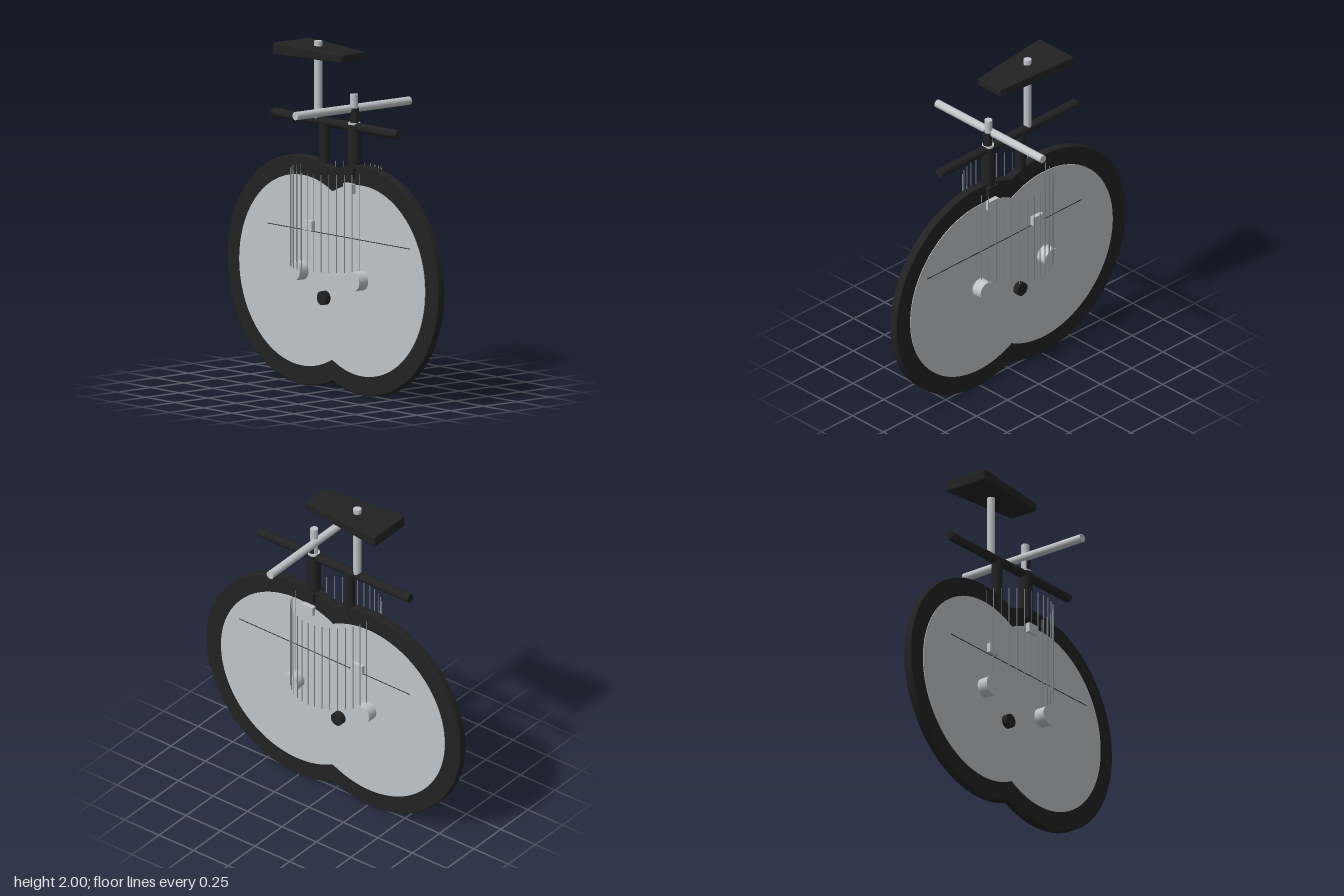
import * as THREE from 'three';
import { toCreasedNormals } from 'three/addons/utils/BufferGeometryUtils.js';
import { RoundedBoxGeometry } from 'three/addons/geometries/RoundedBoxGeometry.js';

const black = new THREE.MeshStandardMaterial({ color: 0x222222 });
black.name = 'black rubber and paint';
const silver = new THREE.MeshStandardMaterial({ color: 0xc0c4c8 });
silver.name = 'silver metal';
const steel = new THREE.MeshStandardMaterial({ color: 0x85898c });
steel.name = 'steel wire';

const HUB_Y = 0.664, HUB_Z = 0.26;

// Outline of two overlapping circles, centred on the hubs
function doubleCircle(r, Type) {
  const a = Math.acos(HUB_Z / r);
  const s = new Type();
  s.absarc(HUB_Z, HUB_Y, r, -(Math.PI - a), Math.PI - a, false);
  s.absarc(-HUB_Z, HUB_Y, r, a, 2 * Math.PI - a, false);
  s.closePath();
  return s;
}

// Extrude a side profile across the width of the model
function slab(shape, halfWidth, bevel) {
  const g = new THREE.ExtrudeGeometry(shape, {
    depth: 2 * (halfWidth - bevel), curveSegments: 56, bevelEnabled: bevel > 0,
    bevelSize: bevel, bevelThickness: bevel, bevelOffset: -bevel, bevelSegments: 1,
  });
  g.translate(0, 0, -(halfWidth - bevel));
  g.rotateY(-Math.PI / 2);
  return toCreasedNormals(g, 0.5);
}

export function createModel() {
  const group = new THREE.Group();

  function add(name, geometry, material, x = 0, y = 0, z = 0) {
    const mesh = new THREE.Mesh(geometry, material);
    mesh.name = name;
    mesh.position.set(x, y, z);
    group.add(mesh);
    return mesh;
  }
  function upright(name, r, y0, y1, z, material, sides = 20) {
    return add(name, new THREE.CylinderGeometry(r, r, y1 - y0, sides), material, 0, (y0 + y1) / 2, z);
  }
  function crosswise(name, r, halfLength, y, z, material) {
    const m = add(name, new THREE.CylinderGeometry(r, r, 2 * halfLength, 24), material, 0, y, z);
    m.rotation.z = Math.PI / 2;
    return m;
  }

  // Joined wheels: tyre rim around a solid disc
  const rim = doubleCircle(0.663, THREE.Shape);
  rim.holes.push(doubleCircle(0.54, THREE.Path));
  add('tyres', slab(rim, 0.026, 0.005), black);
  add('wheelDiscs', slab(doubleCircle(0.551, THREE.Shape), 0.03, 0), silver);

  // Hubs and crank axle
  for (const s of [1, -1]) crosswise(s > 0 ? 'frontHub' : 'rearHub', 0.056, 0.097, HUB_Y + 0.003, s * HUB_Z, silver);
  crosswise('crankAxle', 0.04, 0.065, 0.53, -0.053, black);

  // Ring of upright wires and the long thin chain line
  const cage = new THREE.Group();
  cage.name = 'wireCage';
  const wire = new THREE.CylinderGeometry(0.0025, 0.0025, 0.565, 6);
  const count = 36;
  for (let i = 0; i < count; i++) {
    const a = (i / count) * Math.PI * 2;
    const m = new THREE.Mesh(wire, steel);
    m.name = 'wire';
    m.position.set(0.26 * Math.cos(a), 1.0, 0.26 * Math.sin(a));
    cage.add(m);
  }
  group.add(cage);
  add('chainLine', new THREE.BoxGeometry(0.064, 0.004, 1.24), black, 0, 0.9, 0.06);

  // Brake blocks through the disc
  add('frontBrake', new THREE.BoxGeometry(0.11, 0.056, 0.08), silver, 0, 1.19, 0.167);
  add('rearBrake', new THREE.BoxGeometry(0.11, 0.056, 0.08), silver, 0, 0.933, -0.19);

  // Frame tubes
  const top = add('topTube', new THREE.CylinderGeometry(0.027, 0.027, 1.09, 20), black, 0, 1.54, 0.006);
  top.rotation.x = Math.PI / 2;
  upright('headTube', 0.04, 1.26, 1.555, 0.16, black);
  add('forkCrown', new THREE.BoxGeometry(0.098, 0.055, 0.075), black, 0, 1.28, 0.165);
  upright('seatTube', 0.031, 1.24, 1.54, -0.1, black);

  // Steering stem and handlebar
  upright('headCollar', 0.035, 1.55, 1.567, 0.16, silver);
  upright('stemSleeve', 0.026, 1.55, 1.65, 0.163, black);
  upright('stem', 0.023, 1.56, 1.73, 0.158, silver);
  crosswise('handlebar', 0.024, 0.43, 1.645, 0.142, silver);

  // Seat post passing through a tapered saddle
  upright('seatPost', 0.024, 1.54, 2.0, -0.155, silver, 12);
  add('seatClamp', new THREE.CylinderGeometry(0.024, 0.008, 0.02, 12), silver, 0, 1.53, -0.155);
  const seat = new RoundedBoxGeometry(0.282, 0.072, 0.545, 1, 0.01);
  const p = seat.attributes.position;
  for (let i = 0; i < p.count; i++) {
    const t = p.getZ(i) / 0.545 + 0.5;
    p.setX(i, p.getX(i) * (1 - 0.35 * t));
    p.setY(i, p.getY(i) * (1 - 0.35 * t));
  }
  seat.computeVertexNormals();
  add('saddle', seat, black, 0, 1.941, -0.12);

  return group;
}
